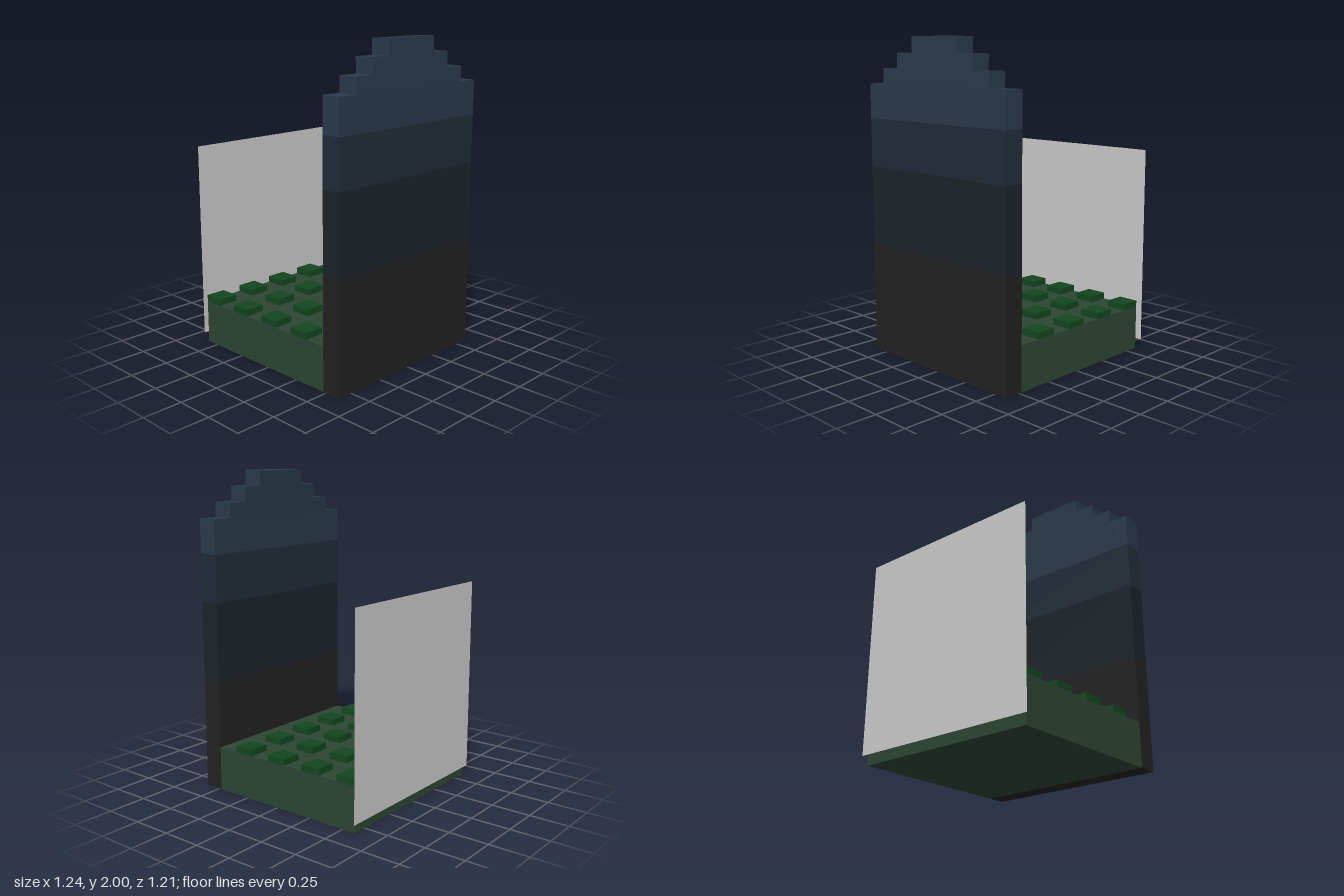
import * as THREE from 'three';

const paint = (color, side = THREE.FrontSide) =>
  new THREE.MeshStandardMaterial({ color, flatShading: true, side });

// Box from min/max corners; faces listed in skip are left out
// (0 +x, 1 -x, 2 +y, 3 -y, 4 +z, 5 -z)
function block(name, material, [x0, x1], [y0, y1], [z0, z1], skip = []) {
  const geo = new THREE.BoxGeometry(x1 - x0, y1 - y0, z1 - z0);
  const index = Array.from(geo.index.array);
  geo.clearGroups();
  geo.setIndex(index.filter((_, i) => !skip.includes(Math.floor(i / 6))));
  geo.translate((x0 + x1) / 2, (y0 + y1) / 2, (z0 + z1) / 2);
  const mesh = new THREE.Mesh(geo, material);
  mesh.name = name;
  return mesh;
}

export function createModel() {
  const model = new THREE.Group();
  model.name = 'steppedHeadstone';

  const X = [-0.6, 0.59];
  const wallZ = [0.48, 0.605];
  const soil = paint(0x2d4533);
  const grass = paint(0x12461f);

  // Ground block behind the wall
  model.add(block('base', soil, X, [0, 0.28], [-0.587, wallZ[0]], [4]));

  // Grid of square tufts, 5 across and 4 deep
  const tufts = new THREE.Group();
  tufts.name = 'tufts';
  const size = 0.131, pitch = 0.2648;
  for (let row = 0; row < 4; row++) {
    for (let col = 0; col < 5; col++) {
      const x = X[0] + col * pitch;
      const z = -0.587 + row * pitch;
      tufts.add(block('tuft', grass, [x, x + size], [0.28, 0.32], [z, z + size], [3]));
    }
  }
  model.add(tufts);

  // Lower wall in bands that lighten upwards
  const wall = new THREE.Group();
  wall.name = 'wall';
  wall.add(block('wallFoot', paint(0x222222), X, [0, 0.7], wallZ, [2]));
  wall.add(block('wallMiddle', paint(0x1c232b), X, [0.7, 1.2], wallZ, [2, 3]));
  wall.add(block('wallUpper', paint(0x212c38), X, [1.2, 1.5], wallZ, [2, 3]));

  // Stepped crown: [left edge, right edge, top height] of each tier
  const tiers = [
    [-0.6, 0.59, 1.715], [-0.467, 0.458, 1.81],
    [-0.335, 0.325, 1.905], [-0.2, 0.195, 2],
  ];
  const outline = new THREE.Shape();
  outline.moveTo(X[0], 1.5);
  outline.lineTo(X[1], 1.5);
  let previous = 1.5;
  for (const [, right, top] of tiers) {
    outline.lineTo(right, previous);
    outline.lineTo(right, top);
    previous = top;
  }
  for (let i = tiers.length - 1; i >= 0; i--) {
    outline.lineTo(tiers[i][0], tiers[i][2]);
    if (i > 0) outline.lineTo(tiers[i][0], tiers[i - 1][2]);
  }
  outline.closePath();
  const crownGeo = new THREE.ExtrudeGeometry(outline, {
    depth: wallZ[1] - wallZ[0], bevelEnabled: false,
  });
  crownGeo.translate(0, 0, wallZ[0]);
  // The tiers lean back slightly, with their tops tilted
  const pos = crownGeo.attributes.position;
  for (let i = 0; i < pos.count; i++) {
    const lean = Math.max(0, (pos.getY(i) - 1.715) / 0.285);
    const front = pos.getZ(i) > 0.54;
    pos.setZ(i, pos.getZ(i) - 0.01 * lean);
    if (!front) pos.setY(i, pos.getY(i) - 0.004 * lean);
  }
  crownGeo.computeVertexNormals();
  const crown = new THREE.Mesh(crownGeo, paint(0x2a394b));
  crown.name = 'crown';
  wall.add(crown);
  model.add(wall);

  // Thin upright sheet at the back
  const sheet = new THREE.Mesh(
    new THREE.PlaneGeometry(1.24, 1.24),
    paint(0xcccccc, THREE.DoubleSide),
  );
  sheet.name = 'backSheet';
  sheet.position.set(0, 0.68, -0.605);
  model.add(sheet);

  return model;
}
